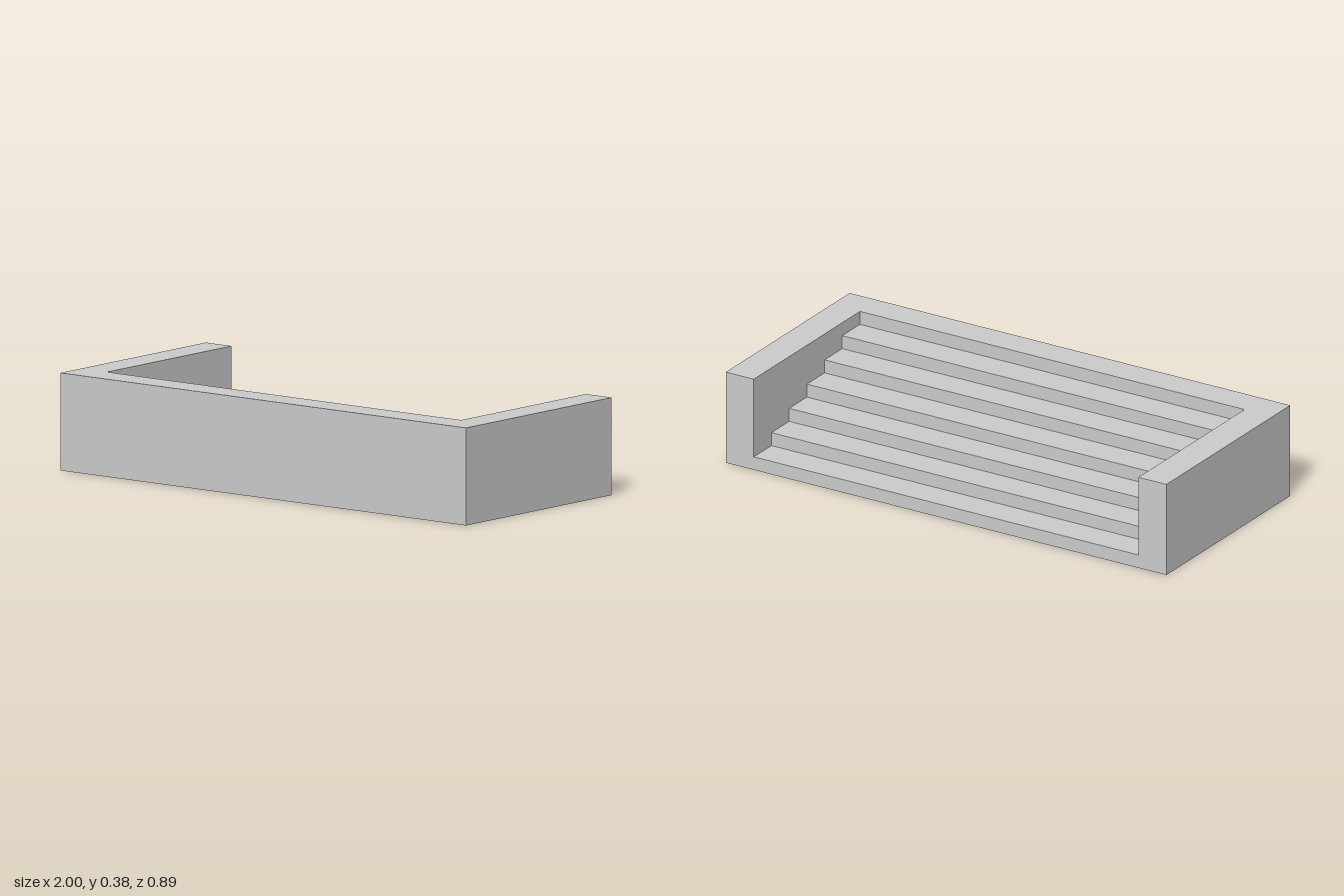
import * as THREE from 'three';

const WIDTH = 2, DEPTH = 0.89, HEIGHT = 0.38, WALL = 0.127, STEPS = 7;

export function createModel() {
  const group = new THREE.Group();
  group.name = 'steppedBlock';
  const material = new THREE.MeshStandardMaterial({ color: 0xcccccc, flatShading: true });

  const add = (name, geometry, x = 0, y = 0) => {
    const mesh = new THREE.Mesh(geometry, material);
    mesh.name = name;
    mesh.position.set(x, y, 0);
    group.add(mesh);
  };

  // Staircase: side profile rising from the back to the front wall
  const run = DEPTH / STEPS, rise = HEIGHT / STEPS;
  const profile = new THREE.Shape();
  profile.moveTo(-DEPTH / 2, 0);
  profile.lineTo(DEPTH / 2, 0);
  profile.lineTo(DEPTH / 2, HEIGHT);
  for (let i = STEPS - 1; i >= 0; i--) {
    const z = -DEPTH / 2 + i * run;
    profile.lineTo(z, (i + 1) * rise);
    if (i > 0) profile.lineTo(z, i * rise);
  }
  const innerWidth = WIDTH - 2 * WALL;
  const stairs = new THREE.ExtrudeGeometry(profile, { depth: innerWidth, bevelEnabled: false });
  stairs.translate(0, 0, -innerWidth / 2);
  stairs.rotateY(-Math.PI / 2);
  add('stairs', stairs);

  // Side walls flanking the steps
  for (const [name, side] of [['leftWall', 1], ['rightWall', -1]]) {
    add(name, new THREE.BoxGeometry(WALL, HEIGHT, DEPTH), side * (WIDTH - WALL) / 2, HEIGHT / 2);
  }

  return group;
}
